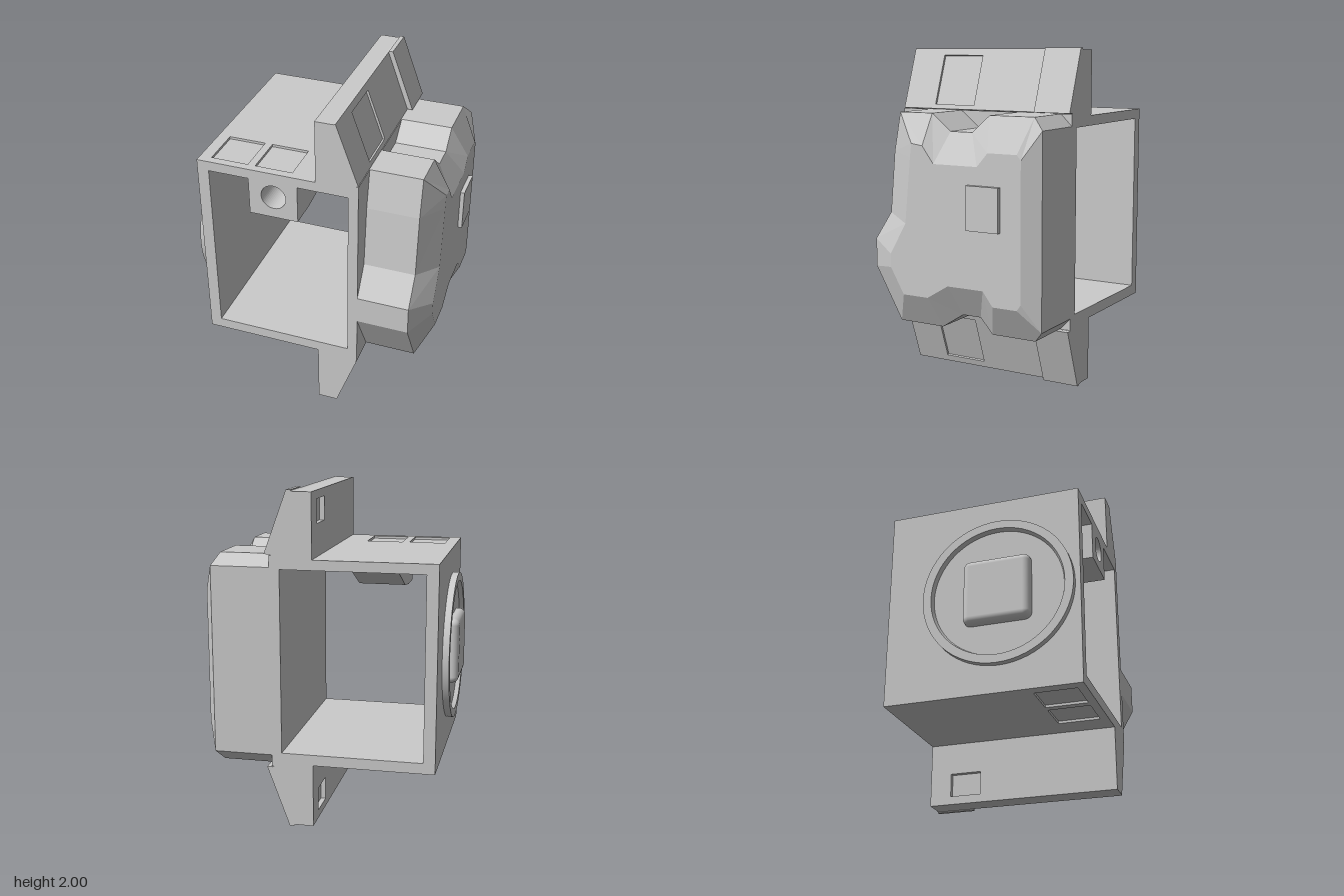
import * as THREE from 'three';
import { toCreasedNormals } from 'three/addons/utils/BufferGeometryUtils.js';
import { RoundedBoxGeometry } from 'three/addons/geometries/RoundedBoxGeometry.js';

const MID = 1; // height of the mirror plane
const HALF = 0.58; // half depth of the frame
const vec = (x, y, z) => new THREE.Vector3(x, y, z);
const toShape = (pts) => new THREE.Shape(pts.map(([x, y]) => new THREE.Vector2(x, y)));

export function createModel() {
  const model = new THREE.Group();
  const mat = new THREE.MeshStandardMaterial({ color: 0xcccccc, flatShading: true });
  const smooth = new THREE.MeshStandardMaterial({ color: 0xcccccc });

  const add = (name, geo, material = mat) => {
    const mesh = new THREE.Mesh(geo, material);
    mesh.name = name;
    model.add(mesh);
    return mesh;
  };

  // Extrudes an x-y outline from z0 to z1
  const extrudeZ = (shape, z0, z1) =>
    new THREE.ExtrudeGeometry(shape, { depth: z1 - z0, bevelEnabled: false, curveSegments: 24 }).translate(0, 0, z0);

  const rectPts = ([a, b, c, d]) => {
    const [u0, u1] = [Math.min(a, c), Math.max(a, c)];
    const [v0, v1] = [Math.min(b, d), Math.max(b, d)];
    return [[u0, v0], [u1, v0], [u1, v1], [u0, v1]];
  };

  // Thin plate with rectangular cut-outs, giving recessed panels on the body below
  const skin = (name, origin, X, Y, outer, holes, depth) => {
    const shape = toShape(rectPts(outer));
    holes.forEach((h) => shape.holes.push(toShape(rectPts(h))));
    const geo = new THREE.ExtrudeGeometry(shape, { depth, bevelEnabled: false });
    const m = new THREE.Matrix4().makeBasis(X, Y, X.clone().cross(Y)).setPosition(origin);
    return add(name, geo.applyMatrix4(m));
  };

  // Square sleeve with the upper and lower fins in one section
  const half = [[-0.67, 0.595], [0.08, 0.595], [0.08, 0.99], [0.156, 0.99], [0.286, 0.63], [0.3, 0.63]];
  const section = toShape([
    ...half.map(([x, y]) => [x, MID + y]),
    ...half.slice().reverse().map(([x, y]) => [x, MID - y]),
  ]);
  section.holes.push(toShape(rectPts([-0.6, 0.455, 0.24, 1.55])));
  add('sleeve', extrudeZ(section, -HALF, HALF));

  // Recessed panels and fin ends, mirrored above and below
  const slope = vec(-0.13, 0.36, 0).normalize();
  const slopeLen = Math.hypot(0.13, 0.36);
  for (const s of [1, -1]) {
    const side = s > 0 ? 'upper' : 'lower';
    skin(side + 'WallPanel', vec(0, MID + s * 0.595, 0), vec(1, 0, 0), vec(0, 0, -s),
      [-0.67, -HALF, 0.05, HALF],
      [[-0.6, -s * 0.28, -0.375, -s * 0.53], [-0.33, -s * 0.28, -0.105, -s * 0.53]], 0.015);
    skin(side + 'FinInnerPanel', vec(0.08, MID, 0), vec(0, 0, s), vec(0, s, 0),
      [-HALF, 0.595, HALF, 0.99], [[-s * 0.45, 0.8, -s * 0.26, 0.94]], 0.03);
    skin(side + 'FinSlopePanel', vec(0.286, MID + s * 0.63, 0), vec(0, 0, -s), vec(slope.x, slope.y * s, 0),
      [-HALF, 0, HALF, slopeLen], [[-s * 0.08, 0.027, -s * 0.355, 0.34]], 0.0132);
    const end = [[0.16, 0.96], [0.17, 1], [0.195, 1], [0.33, 0.635], [0.28, 0.635]];
    add(side + 'FinEnd', extrudeZ(toShape(end.map(([x, y]) => [x, MID + s * y])), -HALF, -0.35));
  }

  // Lug under the ceiling: a bored block with a tapering rib behind it
  const lug = toShape(rectPts([-0.355, 1.32, -0.06, 1.56]));
  const bore = new THREE.Path();
  bore.absarc(-0.205, 1.455, 0.075, 0, Math.PI * 2, true);
  lug.holes.push(bore);
  add('lugBlock', extrudeZ(lug, 0.4, HALF));
  const rib = toShape([[-0.4, 1.56], [-0.4, 1.32], [-0.25, 1.34], [0.2, 1.55], [0.2, 1.56]]);
  add('lugRib', extrudeZ(rib, 0, 0.295).rotateY(Math.PI / 2).translate(-0.355, 0, 0));

  // Side housing: outline and matching cap corners as [z, y, capZ, capY]
  const corners = [
    [0.385, 1.63, 0.24, 1.46], [0.16, 1.63, 0.165, 1.45], [0.035, 1.53, 0.09, 1.35],
    [-0.11, 1.53, -0.2, 1.35], [-0.225, 1.63, -0.27, 1.43], [-0.51, 1.63, -0.455, 1.43],
    [-0.58, 1.56, -0.48, 1.4], [-0.58, 0.44, -0.48, 0.6], [-0.52, 0.375, -0.455, 0.565],
    [-0.24, 0.375, -0.3, 0.565], [-0.16, 0.465, -0.235, 0.65], [-0.04, 0.465, 0, 0.65],
    [0.1, 0.375, 0.14, 0.565], [0.4, 0.375, 0.31, 0.565], [0.58, 0.69, 0.4, 0.72],
    [0.58, 0.86, 0.4, 0.8], [0.465, 1.03, 0.29, 0.99], [0.43, 1.4, 0.25, 1.38],
  ];
  const rings = [
    corners.map(([z, y]) => [0.29, y, z]),
    corners.map(([z, y]) => [z < -0.55 ? 0.65 : 0.61, y, z]),
    corners.map(([, , z, y]) => [0.71, y, z]),
  ];
  const pos = [];
  for (let r = 0; r < 2; r++) {
    corners.forEach((_, i) => {
      const j = (i + 1) % corners.length;
      const [a, b, c, d] = [rings[r][i], rings[r][j], rings[r + 1][j], rings[r + 1][i]];
      pos.push(...a, ...c, ...b, ...a, ...d, ...c);
    });
  }
  const walls = new THREE.BufferGeometry();
  walls.setAttribute('position', new THREE.Float32BufferAttribute(pos, 3));
  walls.computeVertexNormals();
  add('housingWalls', walls);
  const cap = new THREE.ShapeGeometry(toShape(corners.map(([, , z, y]) => [-z, y])));
  add('housingCap', cap.rotateY(Math.PI / 2).translate(0.71, 0, 0));

  // Small raised pad on the housing
  add('housingPad', new THREE.BoxGeometry(0.045, 0.255, 0.21)).position.set(0.7125, 1.118, -0.245);

  // Round dial on the other side, with a raised rim and a soft square button
  const rim = [[0.45, 0], [0.45, 0.04], [0.4, 0.04], [0.39, 0.012], [0, 0.012]];
  const dial = new THREE.LatheGeometry(rim.map(([r, y]) => new THREE.Vector2(r, y)), 64);
  dial.rotateZ(Math.PI / 2).translate(-0.67, 1.003, 0.1);
  add('dial', toCreasedNormals(dial, 0.4), smooth);
  add('dialButton', new RoundedBoxGeometry(0.12, 0.4, 0.4, 4, 0.04), smooth).position.set(-0.68, 1.003, 0.1);

  return model;
}
